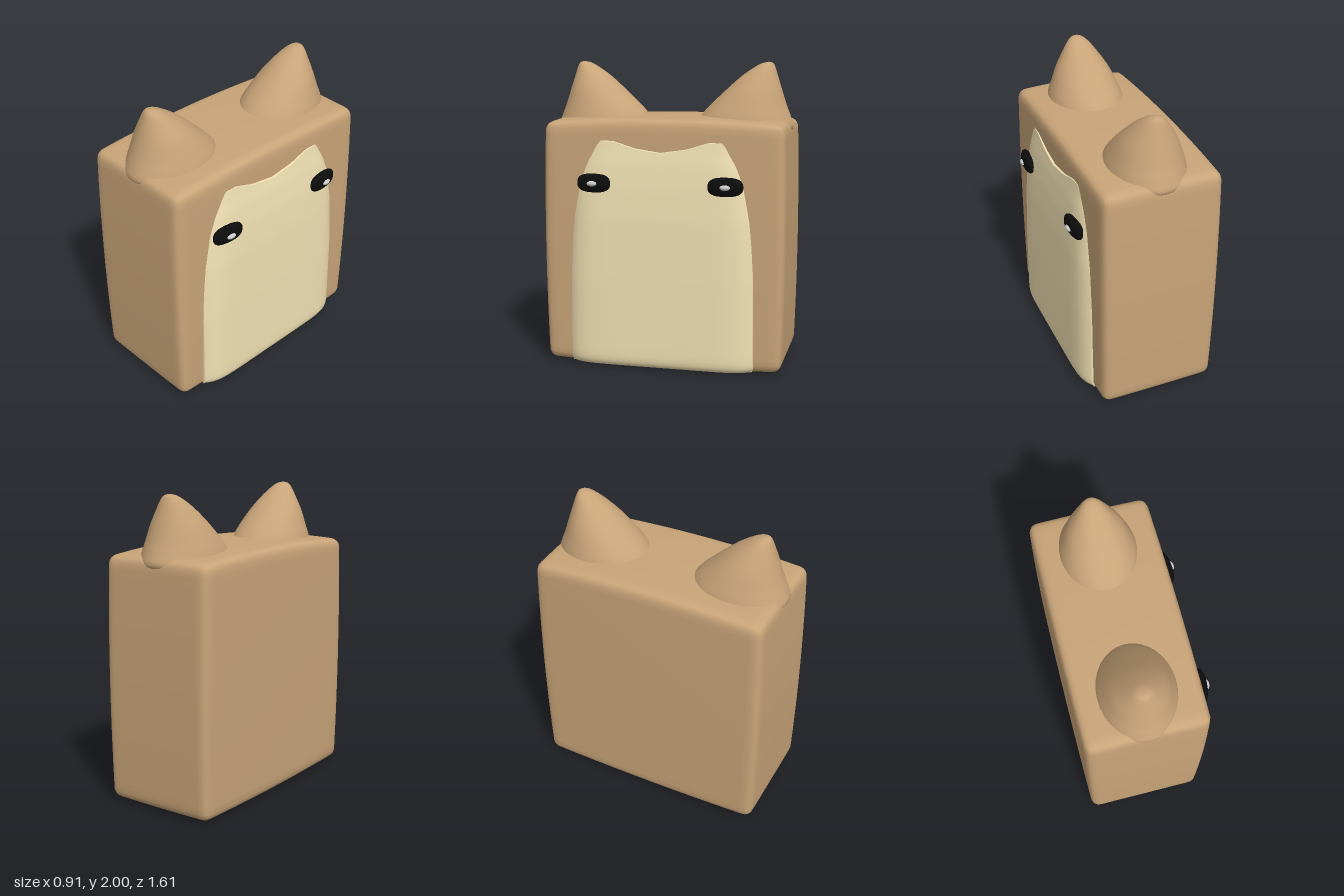
import * as THREE from 'three';
import { mergeVertices } from 'three/addons/utils/BufferGeometryUtils.js';

const { lerp, clamp } = THREE.MathUtils;

// Weld seams and give smooth normals
function smooth(geometry) {
  geometry.deleteAttribute('uv');
  geometry.deleteAttribute('normal');
  const welded = mergeVertices(geometry, 1e-4);
  welded.computeVertexNormals();
  return welded;
}

function part(name, geometry, color, side = THREE.FrontSide) {
  const mesh = new THREE.Mesh(geometry, new THREE.MeshStandardMaterial({ color, side }));
  mesh.name = name;
  return mesh;
}

// A grid of nu by nv cells placed by rule(u, v) -> [x, y, z]
function gridSurface(nu, nv, rule) {
  const g = new THREE.PlaneGeometry(1, 1, nu, nv);
  const { position, uv } = g.attributes;
  for (let i = 0; i < position.count; i++) position.setXYZ(i, ...rule(uv.getX(i), uv.getY(i)));
  return smooth(g);
}

// Linear lookup in a list of [key, value] pairs
function lookup(table, k) {
  for (let i = 1; i < table.length; i++) {
    const [k0, v0] = table[i - 1], [k1, v1] = table[i];
    if (k <= k1) return lerp(v0, v1, clamp((k - k0) / (k1 - k0), 0, 1));
  }
  return table[table.length - 1][1];
}

// Rounded block whose faces swell slightly towards their middles
function bodyGeometry() {
  const g = new THREE.BoxGeometry(2, 2, 2, 24, 24, 24);
  const p = g.attributes.position;
  const half = new THREE.Vector3(0.405, 0.82, 0.803), r = 0.06;
  const inner = half.clone().subScalar(r);
  const ease = (t) => Math.sign(t) * (1 - (1 - Math.abs(t)) ** 2);
  const v = new THREE.Vector3(), core = new THREE.Vector3();
  for (let i = 0; i < p.count; i++) {
    v.set(ease(p.getX(i)), ease(p.getY(i)), ease(p.getZ(i)));
    v.multiply(half);
    core.copy(v).clamp(inner.clone().negate(), inner);
    v.sub(core).setLength(r).add(core);
    const a = v.x / half.x, b = v.y / half.y, c = v.z / half.z;
    const rise = b > 0 ? 0.042 : 0.015;
    p.setXYZ(i,
      -0.047 + v.x - a * 0.012 * (b * b + c * c) / 2,
      0.828 + v.y - b * rise * (0.75 * c * c + 0.25 * a * a) + (b > 0 ? 0.004 * b : 0.008 * b),
      v.z - c * 0.014 * b * b);
  }
  return smooth(g);
}

// Pale face panel: notched top, narrowing upward, rounded rim sunk in the body
const panelWidth = [[0, 0.6], [0.04, 0.614], [0.6, 0.61], [0.85, 0.6], [1.0, 0.59], [1.25, 0.56], [1.42, 0.52]];
const panelTop = [[0, 1.43], [0.33, 1.455], [0.6, 1.5], [0.83, 1.5], [1, 1.42]];
const panelFront = [[0, 0.425], [0.6, 0.42], [1.0, 0.41], [1.2, 0.398], [1.35, 0.382], [1.44, 0.367], [1.5, 0.358]];
function panelGeometry() {
  return gridSurface(48, 48, (u, v) => {
    const s = Math.sin((u - 0.5) * Math.PI);
    const t = (1 - Math.cos(v * Math.PI)) / 2;
    const y = lerp(0.015, lookup(panelTop, Math.abs(s)), t);
    const rim = u === 0 || u === 1 || v === 0 || v === 1;
    const drop = 0.065 * Math.abs(s) ** 9 + 0.03 * (1 - t) ** 60;
    const x = rim ? 0.33 : Math.max(0.345, lookup(panelFront, y) - drop);
    return [x, y, -s * lookup(panelWidth, y)];
  });
}

// Leaning ear: sections of [y, inner z, outer z, half width in x]
const earSections = [
  [1.5, 0.25, 0.72, 0.2], [1.57, 0.15, 0.798, 0.257], [1.64, 0.18, 0.782, 0.245],
  [1.71, 0.24, 0.755, 0.22], [1.81, 0.345, 0.722, 0.177], [1.9, 0.445, 0.694, 0.12],
  [1.96, 0.53, 0.675, 0.075], [1.99, 0.585, 0.66, 0.04], [2.0, 0.632, 0.632, 0],
];
function earGeometry(side) {
  const spine = new THREE.CatmullRomCurve3(
    earSections.map(([y, zin, zout]) => new THREE.Vector3(y, zin, zout)), false, 'catmullrom');
  const widths = new THREE.CatmullRomCurve3(
    earSections.map(([, , , w]) => new THREE.Vector3(w, 0, 0)), false, 'catmullrom');
  return gridSurface(32, 32, (u, v) => {
    const { x: y, y: zin, z: zout } = spine.getPoint(v);
    const w = Math.max(0, widths.getPoint(v).x);
    const a = u * Math.PI * 2 * side;
    const z = (zin + zout) / 2 + Math.cos(a) * (zout - zin) / 2;
    return [-0.047 + Math.sin(a) * w, Math.min(y, 2), side * z];
  });
}

// Eye: flattened sphere with a slightly boxy outline
function eyeGeometry() {
  const g = new THREE.SphereGeometry(1, 32, 24);
  const p = g.attributes.position;
  for (let i = 0; i < p.count; i++) {
    const y = p.getY(i), z = p.getZ(i);
    const len = Math.hypot(y, z) || 1;
    const k = len / ((Math.abs(y) ** 2.7 + Math.abs(z) ** 2.7) ** (1 / 2.7) || 1);
    p.setXYZ(i, p.getX(i) * 0.038, y * k * 0.061, z * k * 0.113);
  }
  return smooth(g);
}

export function createModel() {
  const model = new THREE.Group();
  model.name = 'blockAnimal';
  const tan = 0xc8a478;

  model.add(part('body', bodyGeometry(), tan));
  model.add(part('facePanel', panelGeometry(), 0xf0e0b2, THREE.DoubleSide));

  for (const side of [1, -1]) {
    const label = side > 0 ? 'left' : 'right';
    model.add(part(label + 'Ear', earGeometry(side), tan, THREE.DoubleSide));

    // Eye with a small highlight
    const eye = new THREE.Group();
    eye.name = label + 'Eye';
    eye.position.set(0.402, 1.228, side * 0.432);
    eye.rotation.y = -side * 0.08;
    eye.add(part('eyeball', eyeGeometry(), 0x0c0c0c));
    const glint = part('highlight', new THREE.SphereGeometry(1, 20, 14), 0xcccccc);
    glint.scale.set(0.018, 0.018, 0.034);
    glint.position.x = 0.035;
    eye.add(glint);
    model.add(eye);
  }
  return model;
}
